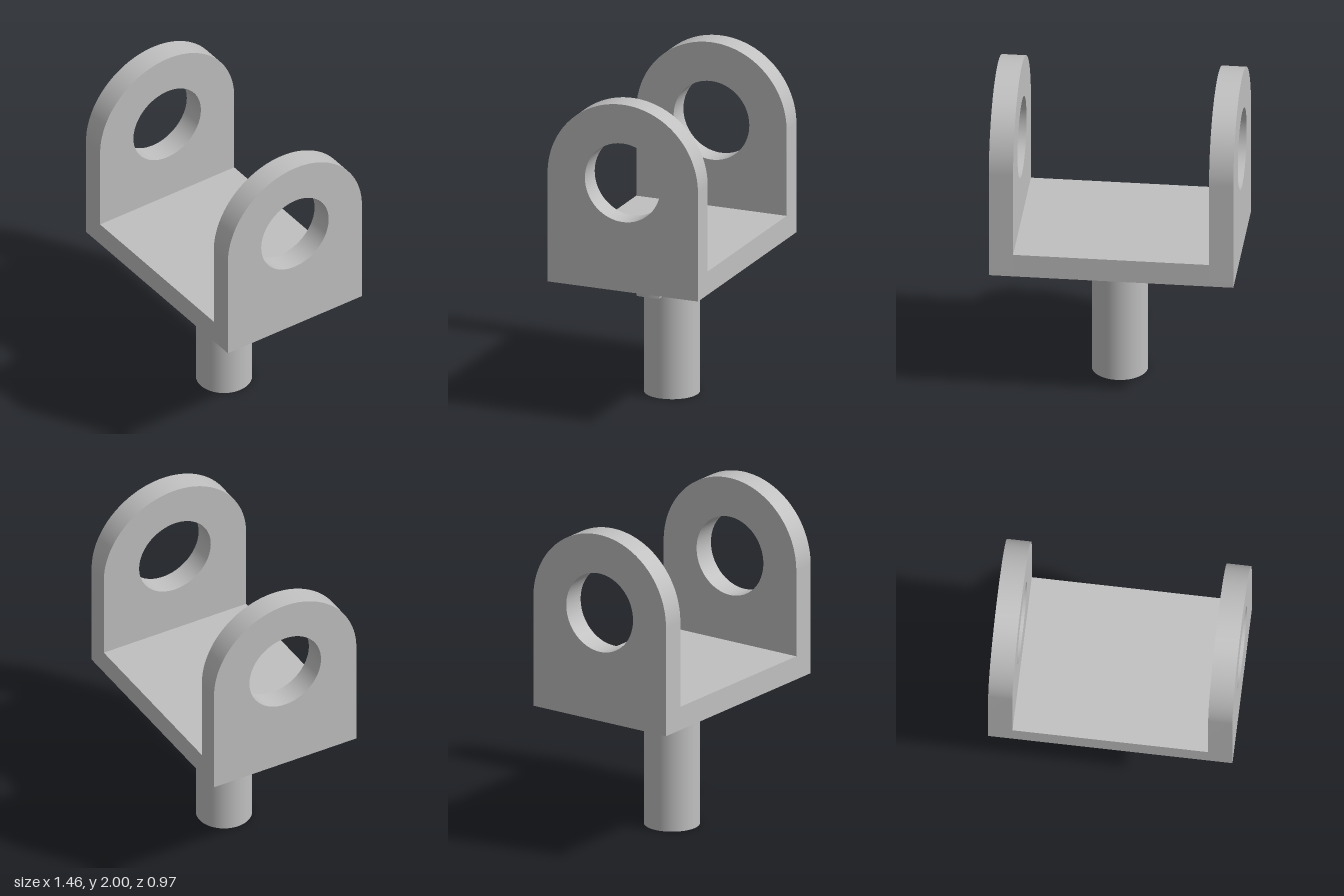
import * as THREE from 'three';
import { toCreasedNormals } from 'three/addons/utils/BufferGeometryUtils.js';

const HALF_W = 0.73, WALL = 0.145, R = 0.487;      // overall half width, wall thickness, arm radius
const PLATE_Y = 0.835, HOLE_Y = 1.513, HOLE_R = 0.245;
const SHAFT_R = 0.167, KEY_R = 0.363, KEY_HALF = 0.073, KEY_H = 0.147;

export function createModel() {
  const group = new THREE.Group();
  const steel = new THREE.MeshStandardMaterial({ color: 0xc0c0c0 });
  steel.name = 'steel grey';

  const add = (name, geometry, x = 0, y = 0, z = 0) => {
    const mesh = new THREE.Mesh(geometry, steel);
    mesh.name = name;
    mesh.position.set(x, y, z);
    group.add(mesh);
  };
  const extrude = (shape, depth) => toCreasedNormals(
    new THREE.ExtrudeGeometry(shape, { depth, bevelEnabled: false, curveSegments: 48 }), 0.5);

  // Round-topped arm with a pin hole, extruded along x
  const armShape = new THREE.Shape();
  armShape.moveTo(-R, PLATE_Y);
  armShape.lineTo(R, PLATE_Y);
  armShape.lineTo(R, HOLE_Y);
  armShape.absarc(0, HOLE_Y, R, 0, Math.PI, false);
  armShape.closePath();
  const hole = new THREE.Path();
  hole.absarc(0, HOLE_Y, HOLE_R, 0, Math.PI * 2, true);
  armShape.holes.push(hole);
  const arm = extrude(armShape, WALL).rotateY(Math.PI / 2);
  add('rightArm', arm, -HALF_W);
  add('leftArm', arm, HALF_W - WALL);

  // Plate joining the arms
  add('basePlate', new THREE.BoxGeometry(2 * (HALF_W - WALL), WALL, 2 * R), 0, PLATE_Y + WALL / 2);

  // Shaft below the plate
  add('shaft', new THREE.CylinderGeometry(SHAFT_R, SHAFT_R, PLATE_Y, 64), 0, PLATE_Y / 2);

  // Keys on both sides of the shaft, with outer ends rounded about the shaft axis
  const a = Math.asin(KEY_HALF / KEY_R);
  const keyShape = new THREE.Shape();
  keyShape.moveTo(0.14, -KEY_HALF);
  keyShape.absarc(0, 0, KEY_R, -a, a, false);
  keyShape.lineTo(0.14, KEY_HALF);
  keyShape.closePath();
  const key = extrude(keyShape, KEY_H).rotateX(-Math.PI / 2);
  add('leftKey', key, 0, PLATE_Y - KEY_H);
  add('rightKey', key.clone().rotateY(Math.PI), 0, PLATE_Y - KEY_H);

  return group;
}
